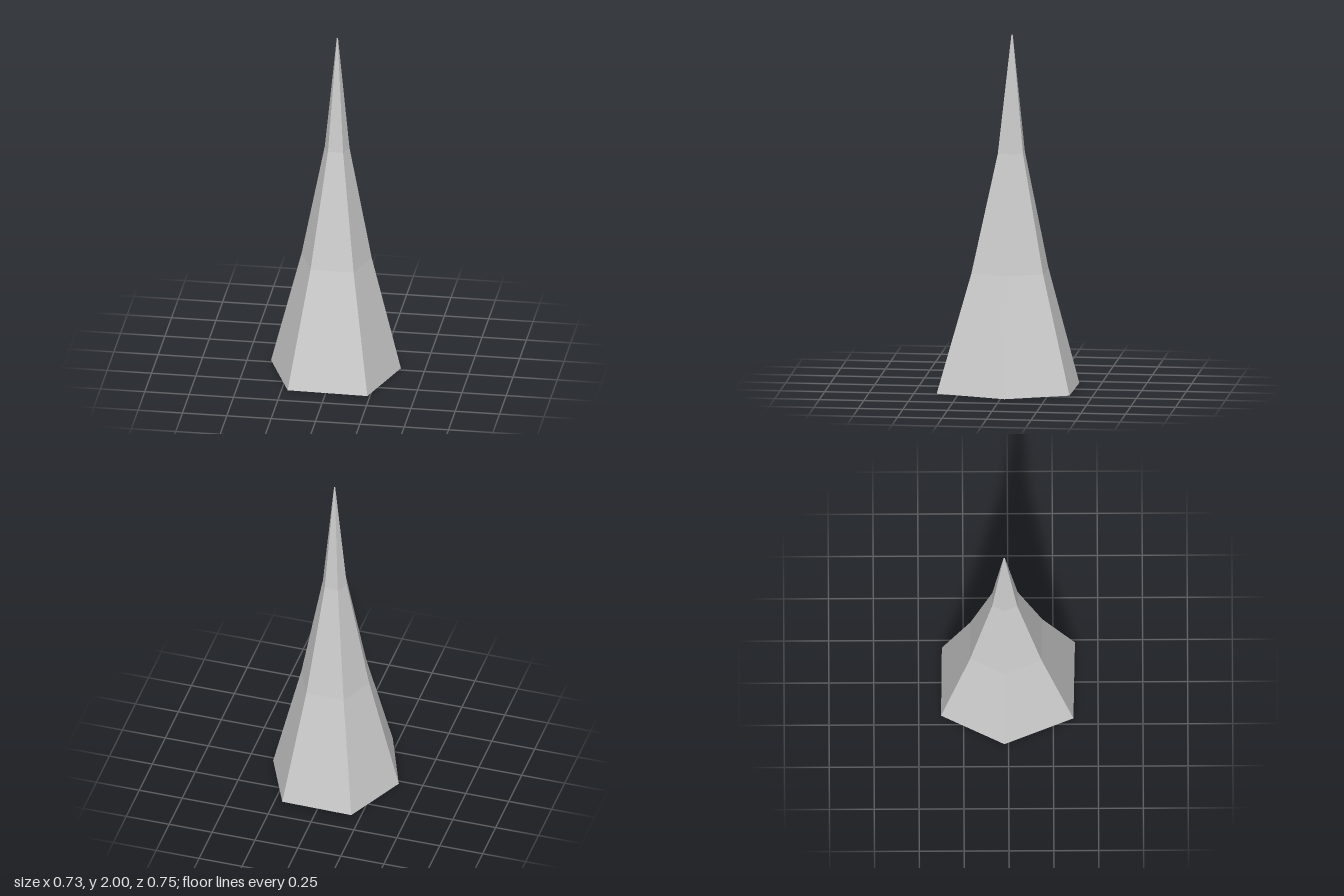
import * as THREE from 'three';

// Base radius of each corner, every 60 degrees from +x towards +z
const CORNER_RADII = [0.358, 0.457, 0.445, 0.374, 0.407, 0.4];
// Scale of the cross-section at each level, from base to tip
const LEVEL_SCALES = [1, 0.54, 0.19, 0.01];
const HEIGHT = 2;
const AXIS = { x: 0.007, z: -0.023 };

// Hexagonal column whose corners are pulled in towards a sharp tip
function spikeGeometry() {
  const levels = LEVEL_SCALES.length - 1;
  const geometry = new THREE.CylinderGeometry(1, 1, HEIGHT, 6, levels);
  geometry.rotateY(Math.PI / 6); // put corners on the x axis
  geometry.translate(0, HEIGHT / 2, 0);
  const p = geometry.attributes.position;
  for (let i = 0; i < p.count; i++) {
    const x = p.getX(i), y = p.getY(i), z = p.getZ(i);
    const corner = (Math.round(Math.atan2(z, x) / (Math.PI / 3)) + 6) % 6;
    const level = Math.round((y / HEIGHT) * levels);
    const r = CORNER_RADII[corner] * LEVEL_SCALES[level];
    p.setXYZ(i, AXIS.x + x * r, y, AXIS.z + z * r);
  }
  const flat = geometry.toNonIndexed();
  flat.computeVertexNormals();
  return flat;
}

export function createModel() {
  const group = new THREE.Group();
  group.name = 'spike';
  const material = new THREE.MeshStandardMaterial({ color: 0xcccccc, flatShading: true });
  const body = new THREE.Mesh(spikeGeometry(), material);
  body.name = 'spikeBody';
  group.add(body);
  return group;
}
